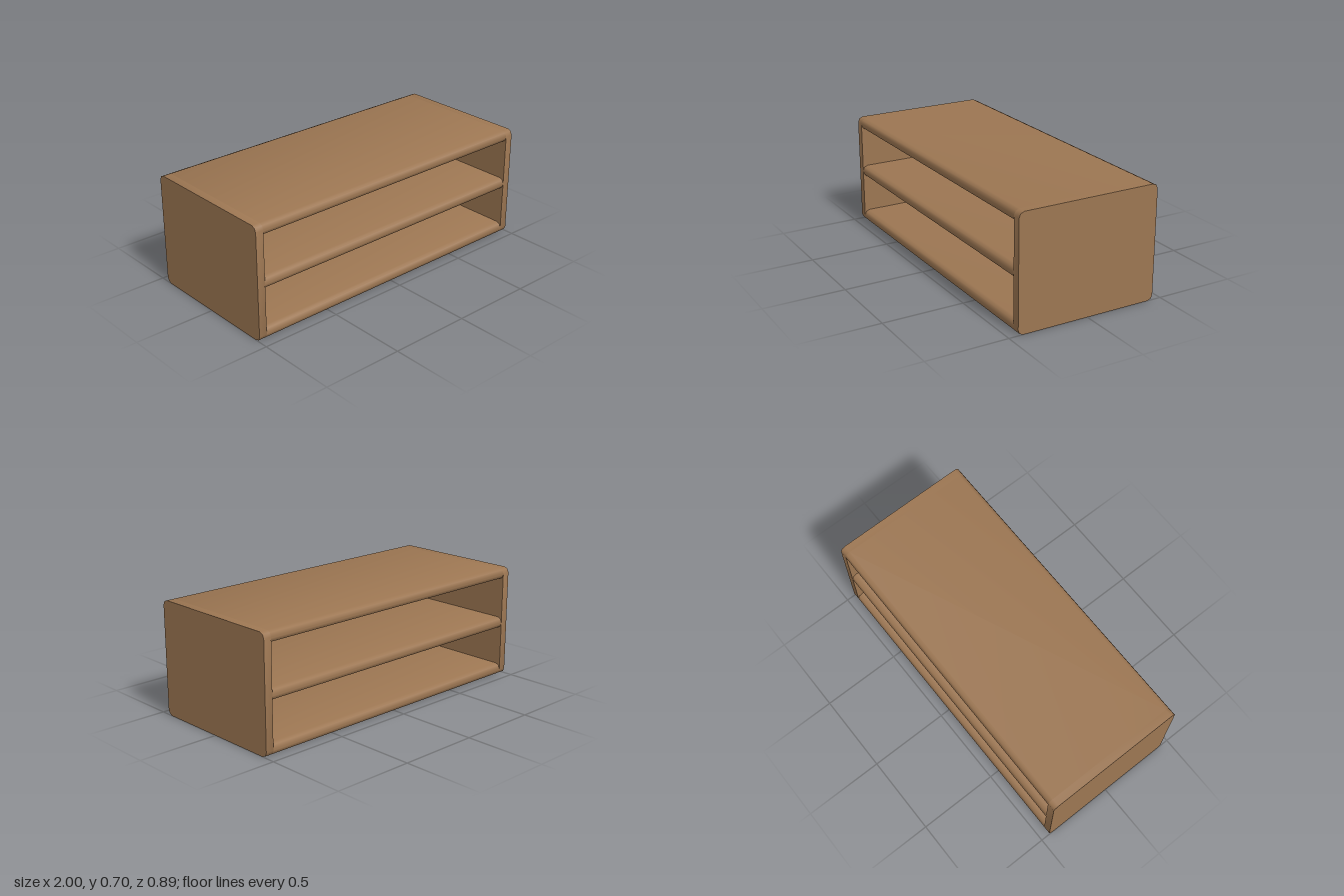
import * as THREE from 'three';
import { toCreasedNormals } from 'three/addons/utils/BufferGeometryUtils.js';

const DEPTH = 0.443; // half depth
const R = 0.032; // rounding of the long edges

// Rounded cross-section in the depth/height plane, extruded along x
function slab(name, x0, x1, y0, y1, material) {
  const corners = [
    [DEPTH - R, y0 + R, -Math.PI / 2],
    [DEPTH - R, y1 - R, 0],
    [-DEPTH + R, y1 - R, Math.PI / 2],
    [-DEPTH + R, y0 + R, Math.PI],
  ];
  const points = [];
  for (const [cx, cy, start] of corners) {
    for (let i = 0; i <= 2; i++) {
      const a = start + (i * Math.PI) / 4;
      points.push(new THREE.Vector2(cx + R * Math.cos(a), cy + R * Math.sin(a)));
    }
  }
  let geometry = new THREE.ExtrudeGeometry(new THREE.Shape(points), { depth: x1 - x0, bevelEnabled: false });
  geometry.rotateY(Math.PI / 2);
  geometry.translate(x0, 0, 0);
  geometry = toCreasedNormals(geometry, 0.9);
  const mesh = new THREE.Mesh(geometry, material);
  mesh.name = name;
  return mesh;
}

export function createModel() {
  const group = new THREE.Group();
  group.name = 'openShelfUnit';
  const wood = new THREE.MeshStandardMaterial({ color: 0x9c7652 });
  wood.name = 'wood';

  // Side panels
  group.add(slab('leftPanel', 0.95, 1, 0, 0.7, wood));
  group.add(slab('rightPanel', -1, -0.95, 0, 0.7, wood));

  // Horizontal boards between the panels
  const boards = [['bottomBoard', 0], ['middleShelf', 0.31], ['topBoard', 0.63]];
  for (const [name, y] of boards) group.add(slab(name, -0.95, 0.95, y, y + 0.07, wood));

  return group;
}
